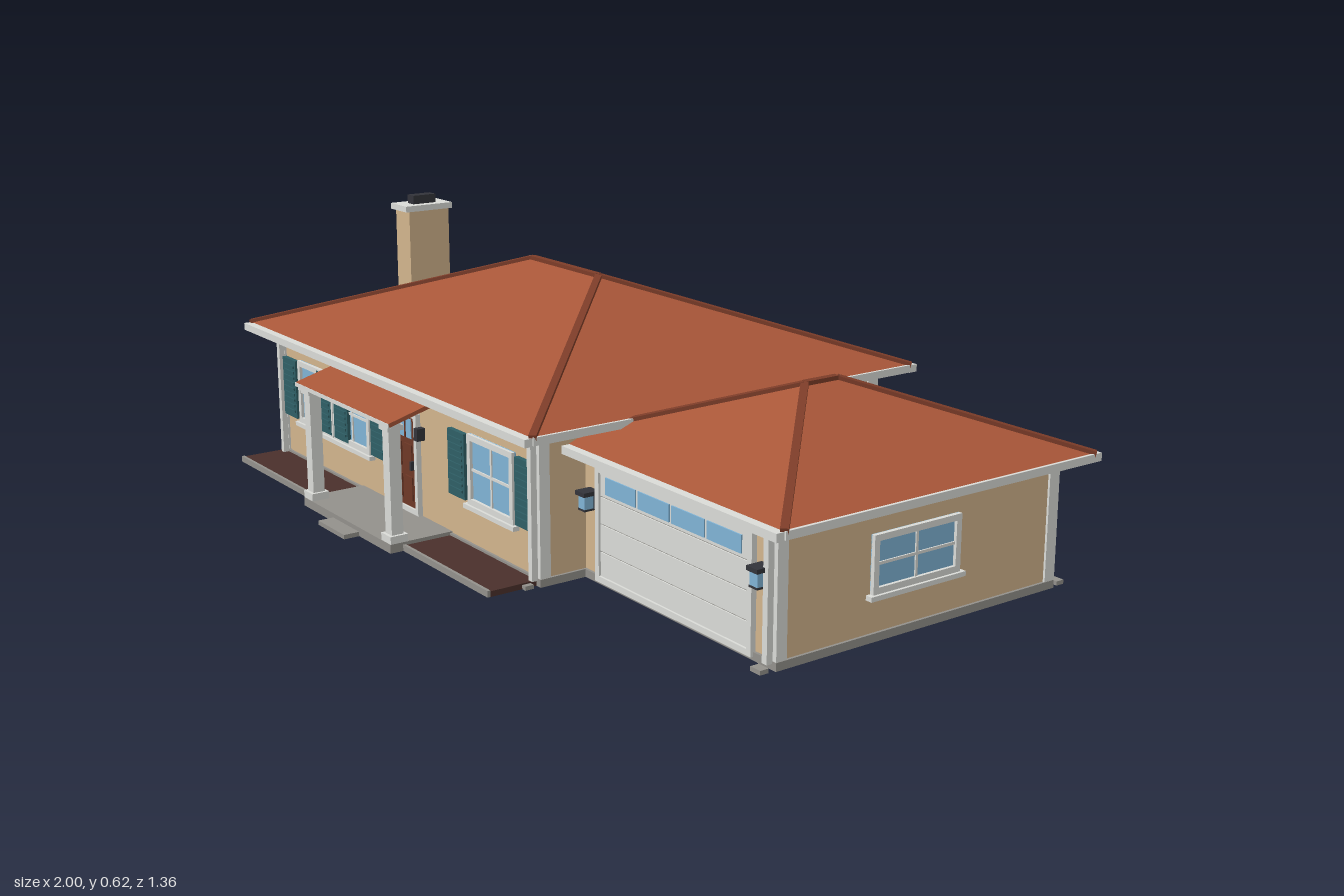
import * as THREE from 'three';

const mat = (name, color) => {
  const m = new THREE.MeshStandardMaterial({ color });
  m.name = name;
  return m;
};

export function createModel() {
  const wall = mat('tan wall', 0xd2b48c), roof = mat('terracotta roof', 0xa85638),
    cap = mat('dark ridge tile', 0x7c3c28), trim = mat('white trim', 0xdadbd7),
    stone = mat('concrete', 0x92908b), teal = mat('teal shutter', 0x2f5f66),
    wood = mat('brown door', 0x6e3826), mulch = mat('mulch', 0x4a302b),
    glass = mat('blue glass', 0x7fb3d5), metal = mat('dark metal', 0x33343a);

  const house = new THREE.Group();
  house.name = 'house';

  const add = (parent, name, geo, m) => {
    const mesh = new THREE.Mesh(geo, m);
    mesh.name = name;
    parent.add(mesh);
    return mesh;
  };
  // box given by its limits on each axis
  const box = (parent, name, m, x0, x1, y0, y1, z0, z1) => {
    const b = add(parent, name, new THREE.BoxGeometry(x1 - x0, y1 - y0, z1 - z0), m);
    b.position.set((x0 + x1) / 2, (y0 + y1) / 2, (z0 + z1) / 2);
    return b;
  };
  // group placed on a wall, local +z pointing outward
  const mount = (name, x, y, z, turn = 0) => {
    const g = new THREE.Group();
    g.name = name;
    g.position.set(x, y, z);
    g.rotation.y = turn;
    house.add(g);
    return g;
  };
  const BACK = Math.PI, RIGHT = Math.PI / 2, LEFT = -Math.PI / 2;

  // rectangular frame around a w by h opening
  function frame(g, w, h, t, d) {
    for (const s of [-1, 1]) {
      box(g, 'frameSide', trim, s * (w - t) / 2 - t / 2, s * (w - t) / 2 + t / 2, -h / 2, h / 2, 0, d);
      box(g, 'frameRail', trim, -w / 2 + t, w / 2 - t, s * (h - t) / 2 - t / 2, s * (h - t) / 2 + t / 2, 0, d);
    }
  }

  function addWindow(name, x, y, z, w, h, turn = 0) {
    const g = mount(name, x, y, z, turn);
    box(g, 'pane', glass, -w / 2, w / 2, -h / 2, h / 2, 0, 0.003);
    frame(g, w, h, 0.013, 0.01);
    box(g, 'verticalBar', trim, -0.003, 0.003, -h / 2, h / 2, 0, 0.006);
    box(g, 'horizontalBar', trim, -w / 2, w / 2, -0.003, 0.003, 0, 0.006);
    box(g, 'sill', trim, -w / 2 - 0.01, w / 2 + 0.01, -h / 2 - 0.01, -h / 2, 0, 0.016);
    return g;
  }

  function addShutters(g) {
    for (const x of [-0.134, 0.134]) {
      box(g, 'shutter', teal, x - 0.034, x + 0.034, -0.073, 0.073, 0, 0.011);
      for (let i = 0; i < 9; i++) {
        const y = -0.056 + i * 0.014;
        box(g, 'louver', teal, x - 0.027, x + 0.027, y - 0.003, y + 0.003, 0.011, 0.014);
      }
    }
  }

  // hipped roof with eave rectangle, ridge ends and capped hips
  function hipRoof(name, x0, x1, z0, z1, y, ridgeA, ridgeB) {
    const g = new THREE.Group();
    g.name = name;
    house.add(g);
    const P = [[x0, y, z0], [x1, y, z0], [x1, y, z1], [x0, y, z1], ridgeA, ridgeB];
    const alongX = ridgeA[2] === ridgeB[2];
    const faces = alongX
      ? [[3, 2, 5], [3, 5, 4], [1, 0, 4], [1, 4, 5], [0, 3, 4], [2, 1, 5]]
      : [[1, 0, 4], [3, 2, 5], [2, 1, 4], [2, 4, 5], [0, 3, 5], [0, 5, 4]];
    faces.push([0, 1, 2], [0, 2, 3]);
    const geo = new THREE.BufferGeometry();
    geo.setAttribute('position', new THREE.Float32BufferAttribute(faces.flat().flatMap(i => P[i]), 3));
    geo.computeVertexNormals();
    add(g, 'roofSlopes', geo, roof);
    const hips = alongX ? [[0, 4], [3, 4], [1, 5], [2, 5], [4, 5]] : [[0, 4], [1, 4], [2, 5], [3, 5], [4, 5]];
    for (const [a, b] of hips) {
      const A = new THREE.Vector3(...P[a]), B = new THREE.Vector3(...P[b]);
      const c = add(g, 'hipCap', new THREE.BoxGeometry(0.016, 0.012, A.distanceTo(B)), cap);
      c.position.lerpVectors(A, B, 0.5);
      c.lookAt(B);
    }
    // fascia boards and front and back gutters
    for (const x of [x0, x1]) box(g, 'fascia', trim, x - 0.004, x + 0.004, y - 0.016, y + 0.001, z0, z1);
    box(g, 'frontGutter', trim, x0, x1, y - 0.018, y - 0.001, z1 - 0.004, z1 + 0.018);
    box(g, 'backGutter', trim, x0, x1, y - 0.018, y - 0.001, z0 - 0.018, z0 + 0.004);
  }

  // wall block with footing, frieze and corner boards
  function wallBlock(name, x0, x1, z0, z1, top, corners) {
    const g = new THREE.Group();
    g.name = name;
    house.add(g);
    box(g, 'walls', wall, x0, x1, 0.015, top, z0, z1);
    box(g, 'footing', stone, x0 - 0.006, x1 + 0.006, 0, 0.017, z0 - 0.006, z1 + 0.006);
    box(g, 'frieze', trim, x0 - 0.005, x1 + 0.005, top - 0.025, top, z0 - 0.005, z1 + 0.005);
    for (const [x, sx] of corners) for (const [z, sz] of [[z0, -1], [z1, 1]]) {
      const ax = x + sx * 0.005, az = z + sz * 0.005;
      const bx = x - sx * 0.02, bz = z - sz * 0.02;
      box(g, 'cornerBoard', trim, Math.min(ax, bx), Math.max(ax, bx), 0.017, top, Math.min(az, bz), Math.max(az, bz));
      // downspout and splash block
      const dx = x - sx * 0.012, dz = z + sz * 0.012;
      box(g, 'downspout', trim, dx - 0.007, dx + 0.007, 0.012, top, dz - 0.007, dz + 0.007);
      box(g, 'splashBlock', stone, dx - 0.014, dx + 0.014, 0, 0.009, dz - 0.01 + sz * 0.018, dz + 0.01 + sz * 0.018);
    }
  }

  wallBlock('mainWalls', -0.85, 0.32, -0.415, 0.485, 0.325, [[-0.85, -1], [0.32, 1]]);
  wallBlock('garageWalls', 0.3, 0.93, -0.345, 0.375, 0.28, [[0.93, 1]]);
  hipRoof('mainRoof', -0.91, 0.38, -0.473, 0.54, 0.337, [-0.4, 0.52, 0.035], [-0.12, 0.52, 0.035]);
  hipRoof('garageRoof', 0.256, 0.992, -0.39, 0.415, 0.29, [0.624, 0.424, -0.03], [0.624, 0.424, 0.055]);

  // windows
  for (const x of [-0.663, -0.48, 0.14]) addShutters(addWindow('frontWindow', x, 0.185, 0.485, 0.18, 0.155));
  addWindow('garageSideWindow', 0.93, 0.155, 0.037, 0.226, 0.118, RIGHT);
  addWindow('garageBackWindow', 0.66, 0.155, -0.345, 0.13, 0.11, BACK);
  addWindow('backWindowSmall', 0.14, 0.205, -0.415, 0.15, 0.115, BACK);
  addWindow('backWindowLarge', -0.17, 0.188, -0.415, 0.17, 0.15, BACK);
  addWindow('leftWindow', -0.85, 0.188, -0.14, 0.18, 0.14, LEFT);

  // front door
  const door = mount('frontDoor', -0.23, 0.138, 0.485);
  box(door, 'doorLeaf', wood, -0.053, 0.053, -0.113, 0.113, 0, 0.007);
  frame(door, 0.132, 0.235, 0.012, 0.012);
  box(door, 'doorGlass', glass, -0.038, 0.038, 0.055, 0.1, 0.007, 0.009);
  for (const x of [-0.013, 0.013]) box(door, 'glazingBar', wood, x - 0.002, x + 0.002, 0.055, 0.1, 0.007, 0.011);
  for (const s of [-1, 1]) for (const y of [-0.06, 0.015])
    box(door, 'doorPanel', wood, s * 0.023 - 0.016, s * 0.023 + 0.016, y - 0.03, y + 0.026, 0.007, 0.01);
  box(door, 'doorHandle', metal, 0.04, 0.047, -0.015, 0.005, 0.007, 0.016);
  box(house, 'doorLamp', metal, -0.16, -0.144, 0.2, 0.228, 0.485, 0.505);
  box(house, 'wallPlaque', metal, -0.375, -0.313, 0.248, 0.268, 0.485, 0.502);

  // glazed double doors at the back
  const french = mount('backDoors', -0.545, 0.135, -0.415, BACK);
  frame(french, 0.25, 0.225, 0.012, 0.011);
  for (const x of [-0.057, 0.057]) {
    box(french, 'doorLeaf', wood, x - 0.054, x + 0.054, -0.108, 0.104, 0, 0.006);
    box(french, 'doorGlass', glass, x - 0.036, x + 0.036, -0.015, 0.086, 0.006, 0.008);
    box(french, 'doorPanel', wood, x - 0.034, x + 0.034, -0.09, -0.035, 0.006, 0.009);
    box(french, 'glazingBar', wood, x - 0.002, x + 0.002, -0.015, 0.086, 0.006, 0.01);
  }
  box(french, 'centrePost', trim, -0.004, 0.004, -0.108, 0.104, 0, 0.011);

  // garage door
  const gd = mount('garageDoor', 0.62, 0.13, 0.375);
  frame(gd, 0.5, 0.246, 0.013, 0.012);
  for (let i = 0; i < 4; i++) {
    const y = -0.115 + i * 0.0585;
    box(gd, 'doorSection', trim, -0.238, 0.238, y, y + 0.0555, 0, 0.007);
    const x = -0.165 + i * 0.11;
    box(gd, 'doorPane', glass, x - 0.051, x + 0.051, 0.068, 0.104, 0.007, 0.01);
  }
  box(gd, 'sectionGaps', stone, -0.238, 0.238, -0.115, 0.115, 0, 0.004);

  // lanterns beside the garage door
  for (const x of [0.352, 0.9]) {
    const l = mount('lantern', x, 0.175, 0.375);
    box(l, 'lanternGlass', glass, -0.011, 0.011, -0.016, 0.012, 0.01, 0.032);
    box(l, 'lanternCap', metal, -0.016, 0.016, 0.012, 0.021, 0, 0.037);
    box(l, 'lanternBase', metal, -0.012, 0.012, -0.02, -0.016, 0.009, 0.033);
    box(l, 'lanternPlate', metal, -0.008, 0.008, -0.02, 0.02, 0, 0.01);
  }

  // porch
  box(house, 'porchSlab', stone, -0.445, -0.035, 0, 0.02, 0.48, 0.638);
  box(house, 'porchStep', stone, -0.3, -0.177, 0, 0.01, 0.638, 0.675);
  for (const x of [-0.425, -0.055]) {
    box(house, 'porchColumn', trim, x - 0.014, x + 0.014, 0.02, 0.285, 0.602, 0.63);
    box(house, 'columnBase', trim, x - 0.021, x + 0.021, 0.02, 0.037, 0.595, 0.637);
    box(house, 'columnHead', trim, x - 0.019, x + 0.019, 0.268, 0.28, 0.597, 0.635);
  }
  box(house, 'porchBeam', trim, -0.445, -0.035, 0.276, 0.288, 0.604, 0.628);
  const porchRoof = add(house, 'porchRoof', new THREE.BoxGeometry(0.437, 0.009, 0.165), roof);
  porchRoof.position.set(-0.238, 0.309, 0.56);
  porchRoof.rotation.x = 0.27;
  box(house, 'porchGutter', trim, -0.457, -0.02, 0.282, 0.291, 0.632, 0.642);

  // planting beds with edging
  for (const [x0, x1] of [[-0.855, -0.445], [-0.035, 0.31]]) {
    box(house, 'plantingBed', mulch, x0, x1, 0, 0.012, 0.49, 0.6);
    box(house, 'bedEdging', stone, x0, x1, 0, 0.014, 0.6, 0.607);
  }

  // back patio and step
  box(house, 'patio', stone, -0.787, -0.15, 0, 0.01, -0.68, -0.415);
  box(house, 'patioStep', stone, -0.7, -0.395, 0.01, 0.021, -0.51, -0.415);

  // chimney
  box(house, 'chimney', wall, -0.925, -0.855, 0, 0.58, 0, 0.115);
  box(house, 'chimneyCap', trim, -0.933, -0.853, 0.578, 0.593, -0.01, 0.125);
  box(house, 'flue', metal, -0.907, -0.877, 0.593, 0.615, 0.025, 0.09);

  // cooling unit on its pad
  box(house, 'unitPad', stone, -1, -0.912, 0, 0.012, -0.25, -0.147);
  box(house, 'coolingUnit', metal, -0.986, -0.924, 0.012, 0.082, -0.238, -0.162);
  for (let i = 0; i < 4; i++)
    box(house, 'unitGrille', metal, -0.989, -0.921, 0.02 + i * 0.017, 0.028 + i * 0.017, -0.241, -0.159);
  const fan = add(house, 'unitFan', new THREE.CylinderGeometry(0.026, 0.026, 0.006, 16), metal);
  fan.position.set(-0.955, 0.085, -0.2);

  // utility meter on the left wall
  box(house, 'meterBox', metal, -0.868, -0.85, 0.11, 0.155, 0.2, 0.235);
  box(house, 'meterPipe', stone, -0.86, -0.85, 0.015, 0.3, 0.214, 0.222);

  return house;
}
